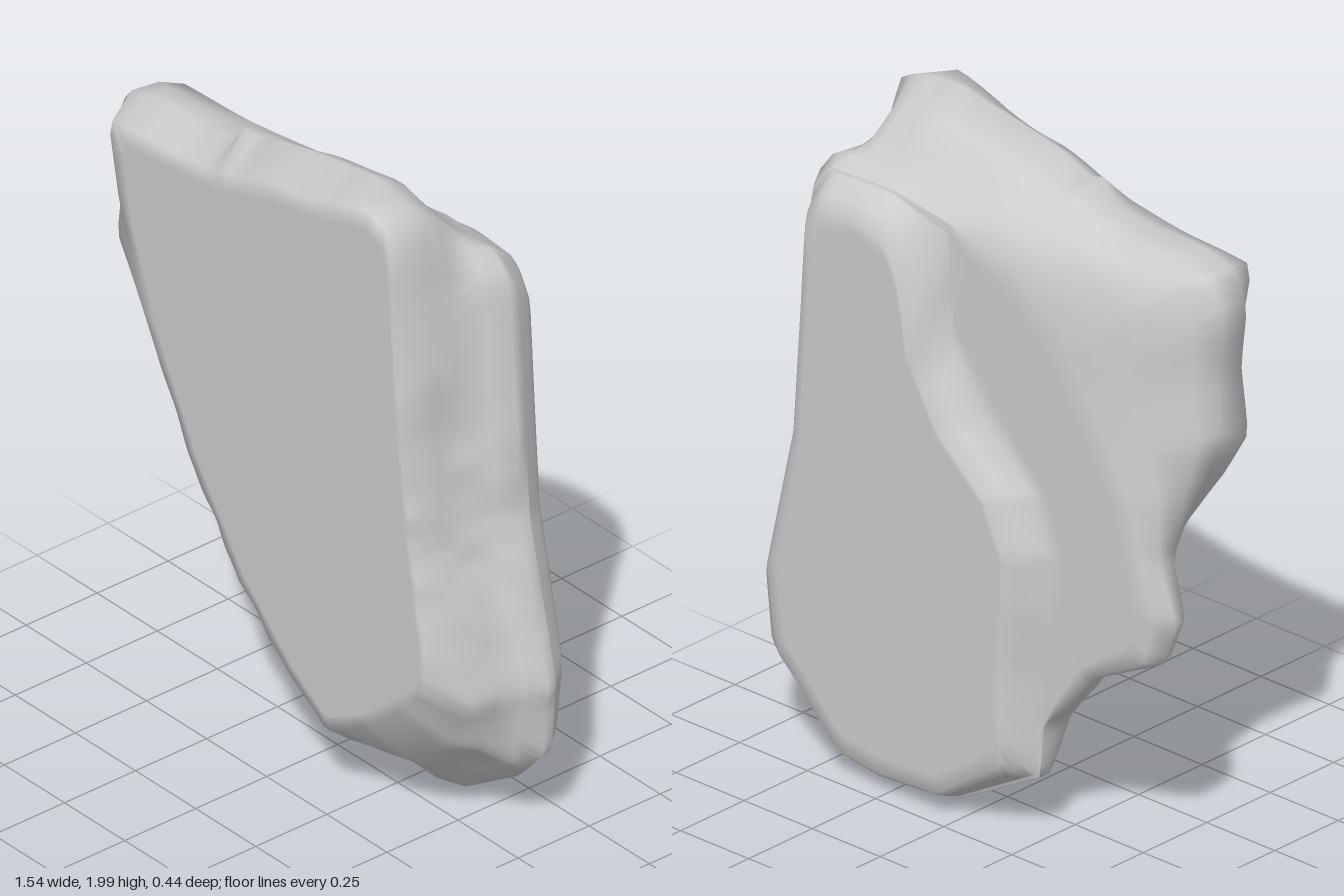
import * as THREE from 'three';

const SIDES = 180, CX = 0.2, CY = 0.9;

// Distance from the centre to a closed outline along one angle
function reach(outline, angle) {
  const dx = Math.cos(angle), dy = Math.sin(angle);
  let best = 0;
  outline.forEach(([ax, ay], i) => {
    const [bx, by] = outline[(i + 1) % outline.length];
    const ex = bx - ax, ey = by - ay, det = ex * dy - ey * dx;
    if (Math.abs(det) < 1e-9) return;
    const px = ax - CX, py = ay - CY;
    const t = (ex * py - ey * px) / det, s = (dx * py - dy * px) / det;
    if (s >= 0 && s <= 1 && t > best) best = t;
  });
  return best;
}

// Closed stone lofted through outlines, listed from front to back;
// a ring may lie part of the way (mix) towards a second outline (to)
function loftStone(rings) {
  const pos = [], index = [];
  rings.forEach(({ z, outline, to = outline, mix = 0, inset = 0, rough = 0 }, r) => {
    for (let j = 0; j < SIDES; j++) {
      const a = (j / SIDES) * Math.PI * 2;
      const chip = rough * (Math.sin(a * 13 + r * 2) + 0.6 * Math.sin(a * 23 + r * 4));
      const d = THREE.MathUtils.lerp(reach(outline, a), reach(to, a), mix) * (1 - inset) + chip;
      pos.push(CX + Math.cos(a) * d, CY + Math.sin(a) * d, z);
    }
  });
  const n = rings.length, front = n * SIDES, back = front + 1, last = (n - 1) * SIDES;
  pos.push(CX, CY, rings[0].z, CX, CY, rings[n - 1].z);
  for (let j = 0; j < SIDES; j++) {
    const k = (j + 1) % SIDES;
    index.push(front, j, k, back, last + k, last + j);
    for (let r = 0; r < n - 1; r++) {
      const a = r * SIDES + j, b = r * SIDES + k;
      index.push(a, a + SIDES, b, b, a + SIDES, b + SIDES);
    }
  }
  const geo = new THREE.BufferGeometry();
  geo.setAttribute('position', new THREE.Float32BufferAttribute(pos, 3));
  geo.setIndex(index);
  geo.computeVertexNormals();
  return geo;
}

export function createModel() {
  // Flat wedge-shaped front face
  const face = [
    [-0.69, 1.74], [-0.5, 1.76], [-0.25, 1.79], [0, 1.87], [0.2, 1.91], [0.38, 1.97], [0.47, 1.93], [0.49, 1.7],
    [0.51, 1.4], [0.56, 1], [0.62, 0.65], [0.61, 0.53], [0.38, 0.33], [0.21, 0.24], [0.06, 0.34], [-0.15, 0.54],
    [-0.36, 0.84], [-0.54, 1.2], [-0.65, 1.5],
  ];
  // Chipped rim of the front layer
  const rim = [
    [-0.77, 1.68], [-0.73, 1.78], [-0.6, 1.81], [-0.4, 1.81], [-0.28, 1.84], [-0.24, 1.9], [-0.19, 1.88],
    [-0.1, 1.92], [0.05, 1.95], [0.3, 2], [0.45, 1.97], [0.52, 1.93], [0.52, 1.75], [0.56, 1.48], [0.55, 1.3],
    [0.59, 0.95], [0.65, 0.75], [0.7, 0.5], [0.6, 0.33], [0.4, 0.2], [0.2, 0.16], [-0.02, 0.24], [-0.2, 0.43],
    [-0.38, 0.7], [-0.56, 0.98], [-0.69, 1.16], [-0.77, 1.3], [-0.75, 1.5],
  ];
  // Shallow groove down the right edge
  const groove = [
    [-0.77, 1.68], [-0.72, 1.78], [-0.4, 1.8], [-0.2, 1.84], [0, 1.89], [0.3, 1.94], [0.45, 1.91], [0.5, 1.75],
    [0.52, 1.5], [0.54, 1.2], [0.58, 0.95], [0.64, 0.75], [0.7, 0.5], [0.63, 0.3], [0.42, 0.15], [0.2, 0.11],
    [0, 0.15], [-0.2, 0.31], [-0.34, 0.57], [-0.54, 0.77], [-0.61, 1], [-0.7, 1.16], [-0.76, 1.3], [-0.74, 1.5],
  ];
  // Widening lower left ledge
  const ledge = [
    [-0.73, 1.66], [-0.68, 1.75], [-0.4, 1.77], [0, 1.81], [0.3, 1.85], [0.48, 1.82], [0.56, 1.72], [0.57, 1.5],
    [0.6, 1.2], [0.62, 0.92], [0.73, 0.5], [0.68, 0.26], [0.42, 0.08], [0.3, 0.06], [0.06, 0.07], [-0.23, 0.22],
    [-0.27, 0.35], [-0.42, 0.54], [-0.64, 0.66], [-0.69, 0.78], [-0.65, 0.95], [-0.69, 1.15], [-0.74, 1.3],
    [-0.72, 1.5],
  ];
  // Widest part of the rear layer, sloping in at the upper corner
  const bulge = [
    [-0.5, 1.62], [-0.38, 1.72], [-0.15, 1.76], [0.1, 1.78], [0.3, 1.79], [0.54, 1.79], [0.6, 1.71], [0.62, 1.45],
    [0.64, 1.25], [0.63, 1], [0.69, 0.8], [0.71, 0.68], [0.77, 0.5], [0.75, 0.44], [0.74, 0.28], [0.64, 0.17],
    [0.42, 0.03], [0.3, 0], [0.06, 0.02], [-0.25, 0.19], [-0.26, 0.34], [-0.42, 0.53], [-0.66, 0.65],
    [-0.71, 0.78], [-0.65, 0.95], [-0.64, 1.15], [-0.58, 1.35],
  ];
  // Flat shelf on the back
  const shelf = [
    [-0.3, 1.56], [-0.15, 1.68], [0.1, 1.74], [0.3, 1.77], [0.52, 1.76], [0.59, 1.68], [0.62, 1.25], [0.64, 0.97],
    [0.75, 0.5], [0.73, 0.28], [0.42, 0.02], [0.3, 0], [0.06, 0.02], [-0.25, 0.19], [-0.26, 0.34], [-0.42, 0.54],
    [-0.63, 0.66], [-0.66, 0.8], [-0.61, 1], [-0.57, 1.13], [-0.42, 1.38],
  ];
  // Foot of the raised plate
  const foot = [
    [0.08, 1.7], [0.3, 1.76], [0.52, 1.75], [0.58, 1.66], [0.61, 1.25], [0.63, 0.97], [0.74, 0.5], [0.72, 0.28],
    [0.42, 0.03], [0.3, 0.01], [0.06, 0.03], [-0.24, 0.2], [-0.24, 0.5], [-0.27, 0.7], [-0.28, 0.87],
    [-0.22, 1.03], [-0.04, 1.2], [0.07, 1.38], [0.09, 1.55],
  ];
  // Raised back plate with its winding inner edge
  const plate = [
    [0.24, 1.65], [0.35, 1.69], [0.49, 1.67], [0.54, 1.58], [0.56, 1.25], [0.58, 0.95], [0.67, 0.53], [0.64, 0.31],
    [0.42, 0.08], [0.28, 0.06], [0.06, 0.07], [-0.18, 0.23], [-0.17, 0.5], [-0.19, 0.7], [-0.19, 0.85],
    [-0.12, 1], [0.05, 1.15], [0.17, 1.36], [0.19, 1.52],
  ];

  const rock = new THREE.Mesh(loftStone([
    { z: 0.22, outline: face, inset: 0.06 },
    { z: 0.22, outline: face, rough: 0.004 },
    { z: 0.12, outline: rim, rough: 0.002 },
    { z: 0.03, outline: groove, rough: 0.005 },
    { z: -0.04, outline: ledge, rough: 0.003 },
    { z: -0.095, outline: bulge },
    { z: -0.135, outline: shelf },
    { z: -0.136, outline: shelf, to: foot, mix: 0.2 },
    { z: -0.139, outline: shelf, to: foot, mix: 0.85 },
    { z: -0.14, outline: foot },
    { z: -0.19, outline: foot, to: plate, mix: 0.45 },
    { z: -0.22, outline: plate },
    { z: -0.22, outline: plate, inset: 0.06 },
  ]), new THREE.MeshStandardMaterial({ color: 0xcccccc }));
  rock.name = 'layeredStone';

  const group = new THREE.Group();
  group.name = 'rockSlab';
  group.add(rock);
  return group;
}
